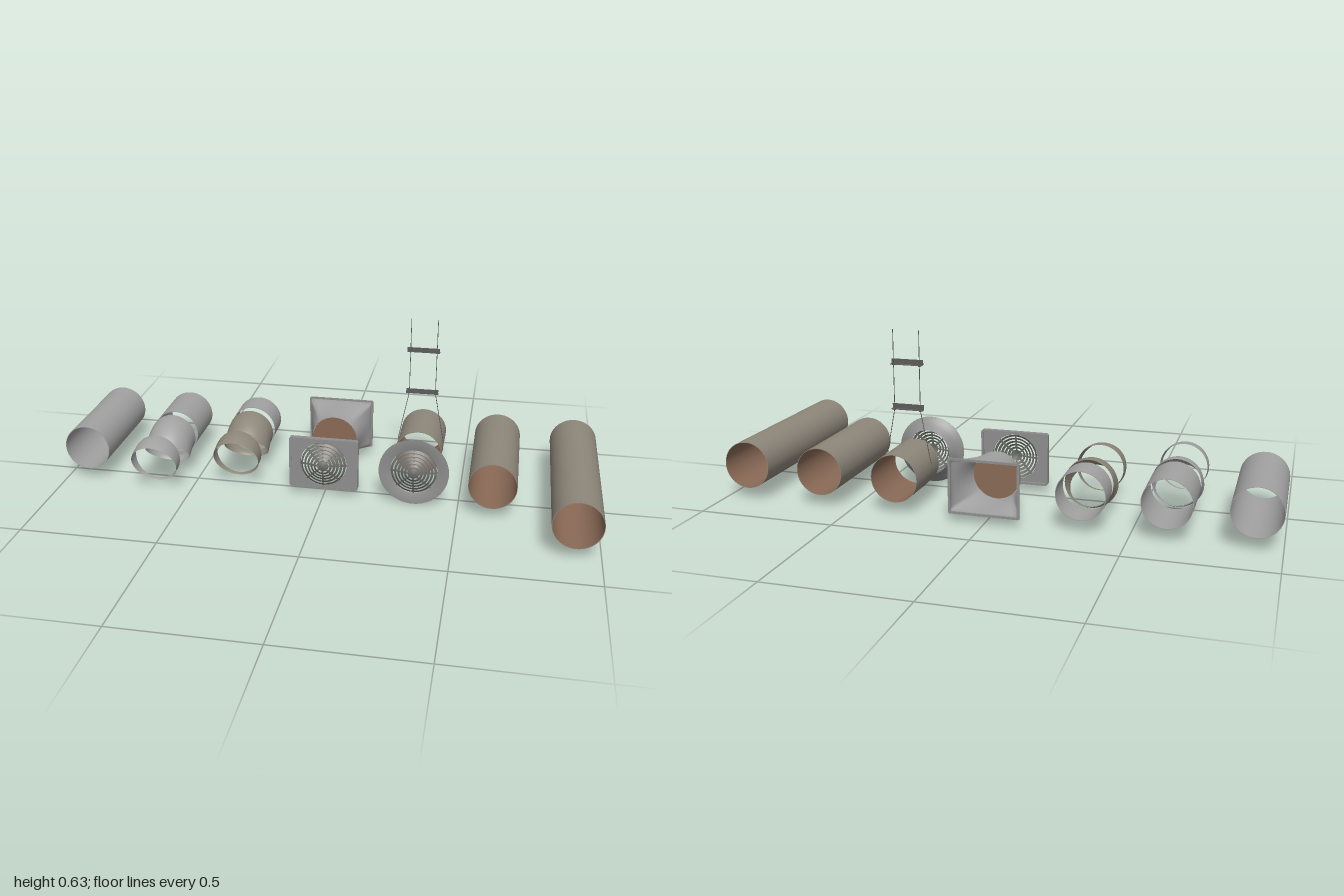
import * as THREE from 'three';

const CY = 0.1315, R = 0.087, WALL = 0.002, BACK = -0.332;
const mat = (name, color) => {
  const m = new THREE.MeshStandardMaterial({ color, side: THREE.DoubleSide });
  m.name = name;
  return m;
};

export function createModel() {
  const root = new THREE.Group();
  root.name = 'ductParts';
  const grey = mat('galvanised grey', 0xa2a2a2);
  const plateGrey = mat('plate grey', 0x8e8e8e);
  const grilleGrey = mat('grille dark grey', 0x70706c);
  const brown = mat('brown grey', 0x8e877b);
  const copper = mat('inner copper brown', 0x8a6a56);
  const steel = mat('hanger steel', 0x5c5c5a);

  const add = (parent, name, geo, material, x = 0, y = 0, z = 0) => {
    const m = new THREE.Mesh(geo, material);
    m.name = name;
    m.position.set(x, y, z);
    parent.add(m);
    return m;
  };
  const station = (name, x) => {
    const g = new THREE.Group();
    g.name = name;
    g.position.set(x, CY, 0);
    root.add(g);
    return g;
  };
  // surface of revolution about z from [radius, z] points
  const turned = (pts, seg = 48) =>
    new THREE.LatheGeometry(pts.map(p => new THREE.Vector2(p[0], p[1])), seg).rotateX(Math.PI / 2);

  // thin-walled straight pipe with separate lining
  const pipe = (g, z0, z1, outer, inner) => {
    add(g, 'pipeWall', turned([[R, z0], [R, z1]]), outer);
    add(g, 'pipeLining', turned([[R - WALL, z1], [R - WALL, z0]]), inner);
    for (const z of [z0, z1]) add(g, 'pipeRim', new THREE.RingGeometry(R - WALL, R, 48), outer, 0, 0, z);
  };

  // smooth elbow bending downwards towards the front
  const BEND = 0.118;
  const toBend = new THREE.Matrix4().makeBasis(
    new THREE.Vector3(0, 1, 0), new THREE.Vector3(0, 0, 1), new THREE.Vector3(1, 0, 0));
  const elbow = (g, z, angle, outer, inner) => {
    const skin = r => new THREE.TorusGeometry(BEND, r, 48, 14, angle).applyMatrix4(toBend);
    add(g, 'elbowWall', skin(R), outer, 0, -BEND, z);
    add(g, 'elbowLining', skin(R - WALL), inner, 0, -BEND, z);
  };

  // straight pipes
  pipe(station('greyPipe', -0.912), BACK, 0.075, grey, grey);
  pipe(station('mediumBrownPipe', 0.623), BACK, 0.12, brown, copper);
  pipe(station('longBrownPipe', 0.912), BACK, 0.35, brown, copper);

  // short pipes with 45 and 22.5 degree elbows
  const a = station('greyElbowSet', -0.623);
  pipe(a, BACK, -0.13, grey, grey);
  elbow(a, -0.095, Math.PI / 4, grey, grey);
  elbow(a, 0.1, Math.PI / 8, grey, grey);
  const b = station('brownElbowSet', -0.334);
  pipe(b, BACK, -0.225, grey, grey);
  elbow(b, -0.19, Math.PI / 4, brown, brown);
  elbow(b, 0.003, Math.PI / 8, brown, brown);

  // rounded rectangle, optionally with a hole
  const roundRect = (w, h, r, S = THREE.Shape) => {
    const s = new S();
    s.moveTo(-w + r, -h);
    s.lineTo(w - r, -h); s.absarc(w - r, -h + r, r, -Math.PI / 2, 0);
    s.lineTo(w, h - r); s.absarc(w - r, h - r, r, 0, Math.PI / 2);
    s.lineTo(-w + r, h); s.absarc(-w + r, h - r, r, Math.PI / 2, Math.PI);
    s.lineTo(-w, -h + r); s.absarc(-w + r, -h + r, r, Math.PI, Math.PI * 1.5);
    return s;
  };
  const panel = (w, h, r, depth, hole) => {
    const s = roundRect(w, h, r);
    s.holes.push(hole);
    return new THREE.ExtrudeGeometry(s, { depth, bevelEnabled: false, curveSegments: 24 });
  };

  // round-to-rectangle transition
  const c = station('rectangularTransition', 0);
  const [HW, HH, Z0, Z1] = [0.12, 0.093, -0.35, -0.185];
  const hood = new THREE.CylinderGeometry(R, R, 1, 64, 14, true).rotateX(Math.PI / 2);
  const p = hood.attributes.position;
  for (let i = 0; i < p.count; i++) {
    const s = 0.5 - p.getZ(i);
    const f = Math.min(1, s / 0.88) ** 1.35;
    const u = p.getX(i) / R, v = p.getY(i) / R, m = Math.max(Math.abs(u), Math.abs(v));
    p.setXYZ(i,
      THREE.MathUtils.lerp(u * R, HW * u / m, f),
      THREE.MathUtils.lerp(v * R, HH * v / m, f),
      THREE.MathUtils.lerp(Z1, Z0, s));
  }
  hood.computeVertexNormals();
  add(c, 'transitionHood', hood, grey);
  add(c, 'transitionFlange', panel(0.128, 0.1, 0.006, 0.006,
    roundRect(HW - 0.001, HH - 0.001, 0.003, THREE.Path)), plateGrey, 0, 0, Z0);
  add(c, 'screenDisc', new THREE.CircleGeometry(R - 0.001, 48), copper, 0, 0, Z1 - 0.006);

  // domed louvre grille with rings and eight spokes
  const grille = (g, z, rise) => {
    const height = r => z + rise * (1 - r / R);
    add(g, 'grilleHub', turned([[0, height(0.012)], [0.017, height(0.015)], [0.021, height(0.021) - 0.006]], 32),
      grilleGrey);
    for (let i = 0; i < 5; i++) {
      const r = 0.026 + i * 0.0125;
      add(g, 'grilleRing', turned([[r, height(r)], [r + 0.008, height(r + 0.008) - 0.003],
        [r + 0.008, height(r + 0.008) - 0.006]]), grilleGrey);
    }
    for (let i = 0; i < 8; i++) {
      const arm = new THREE.Group();
      arm.name = 'grilleSpoke';
      arm.rotation.z = (i * Math.PI) / 4;
      const bar = add(arm, 'spokeBar', new THREE.BoxGeometry(0.076, 0.006, 0.004), grilleGrey,
        0.05, 0, height(0.05) - 0.004);
      bar.rotation.y = Math.atan2(rise, R);
      g.add(arm);
    }
  };

  // rectangular front grille
  const d = station('rectangularGrille', 0);
  const round = new THREE.Path();
  round.absarc(0, 0, R, 0, Math.PI * 2);
  add(d, 'grillePlate', panel(0.125, 0.096, 0.008, 0.008, round), plateGrey, 0, 0, 0.042);
  add(d, 'grilleFrame', panel(0.129, 0.1, 0.01, 0.02,
    roundRect(0.121, 0.092, 0.006, THREE.Path)), plateGrey, 0, 0, 0.031);
  grille(d, 0.052, 0.024);

  // round flared diffuser with its pipe
  const e = station('roundDiffuserSet', 0.335);
  pipe(e, BACK, -0.11, brown, copper);
  const flare = [[R, 0.004], [0.092, 0.012], [0.102, 0.028], [0.114, 0.042], [0.1285, 0.053], [0.1285, 0.056]];
  add(e, 'diffuserFlare', turned(flare, 64), plateGrey);
  add(e, 'diffuserFace', turned([[0.1285, 0.056], [0.11, 0.056], [R, 0.05]], 64), plateGrey);
  grille(e, 0.05, 0.024);

  // hanger: strap, wires and two cross rails
  const h = new THREE.Group();
  h.name = 'hanger';
  h.position.set(0.335, 0, -0.187);
  root.add(h);
  const wire = (name, pts) => {
    const path = new THREE.CurvePath();
    for (let i = 1; i < pts.length; i++)
      path.add(new THREE.LineCurve3(new THREE.Vector3(...pts[i - 1], 0), new THREE.Vector3(...pts[i], 0)));
    add(h, name, new THREE.TubeGeometry(path, 24, 0.0013, 6), steel);
  };
  for (const s of [-1, 1]) {
    wire('hangerRod', [[s * 0.049, 0.347], [s * 0.049, 0.636]]);
    wire('slingWire', [[s * 0.049, 0.347], [s * 0.087, 0.15]]);
  }
  add(h, 'pipeSling', new THREE.TorusGeometry(R, 0.0013, 6, 32, Math.PI), steel, 0, CY, 0).rotation.z = Math.PI;
  for (const y of [0.347, 0.511]) {
    add(h, 'railBase', new THREE.BoxGeometry(0.12, 0.002, 0.017), steel, 0, y, 0.001);
    add(h, 'railLip', new THREE.BoxGeometry(0.12, 0.018, 0.002), steel, 0, y + 0.009, 0.0095);
    for (const s of [-1, 1])
      add(h, 'rodNut', new THREE.CylinderGeometry(0.005, 0.005, 0.008, 6), steel, s * 0.049, y, 0);
  }
  return root;
}
